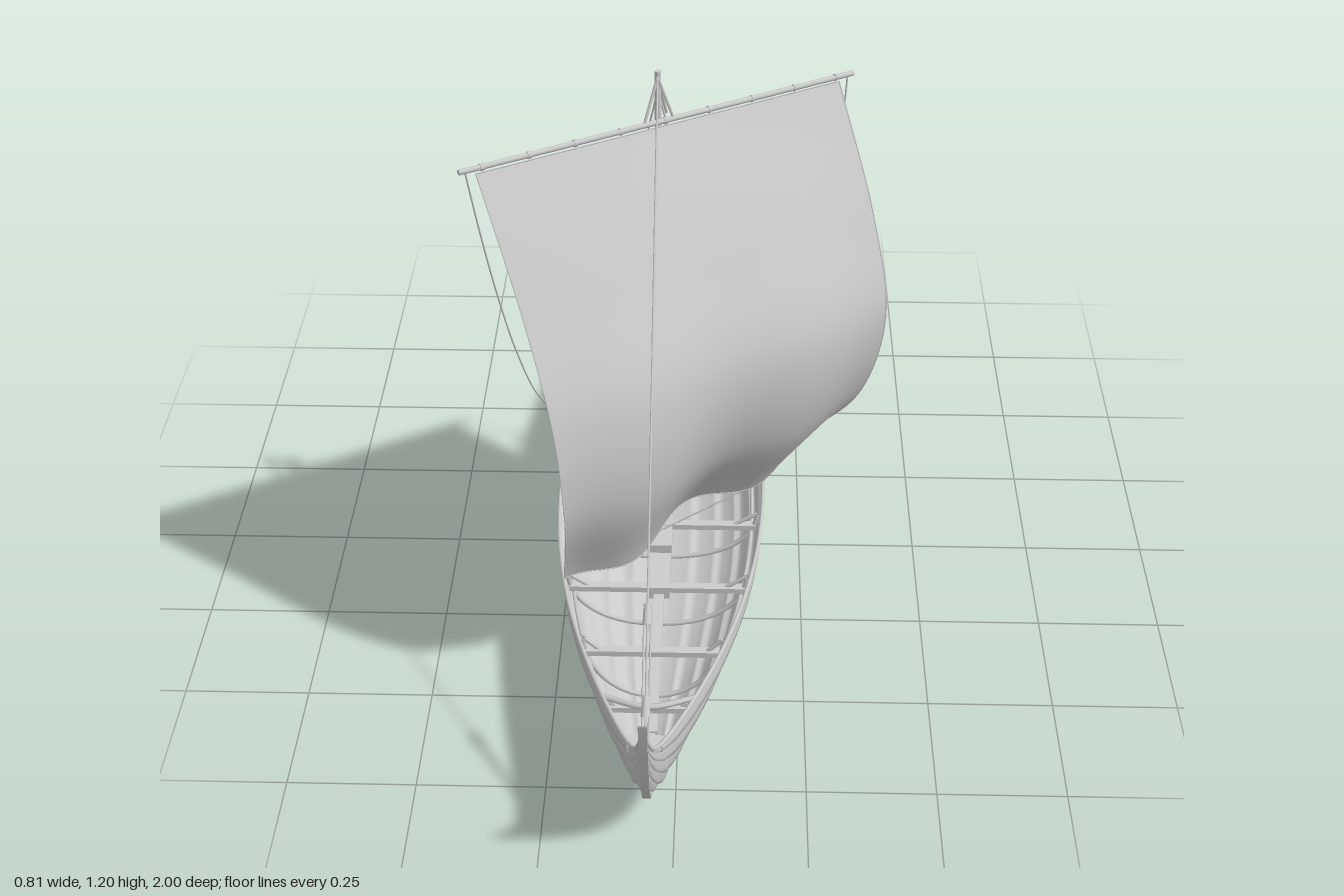
import * as THREE from 'three';

const grey = new THREE.MeshStandardMaterial({ color: 0xcccccc, side: THREE.DoubleSide });
const V = (x, y, z) => new THREE.Vector3(x, y, z);
const MID = -0.05; // centreline of the hull

// Hull lines along z
const sheer = z => 0.169 + 0.121 * z * z + 0.11 * Math.abs(z) ** 30;
const keel = z => 0.02 * z * z + 0.38 * Math.abs(z) ** 11;
const beam = z => 0.217 * Math.max(0, 1 - z * z) ** 1.14;
const fullness = z => 2.3 - 1.0 * z * z;

// Point on the planking: a = 0 at the keel, 1 at the rail; off = outward offset
function skin(z, a, side, off = 0) {
  const p = 2 / fullness(z), t = a * Math.PI / 2;
  const s = Math.sin(t), c = Math.max(0, Math.cos(t));
  const top = sheer(z), depth = Math.max(0, top - keel(z) - 0.028 * (1 - z ** 8));
  const k = off * Math.min(1, beam(z) / 0.05);
  return V(side * Math.max(0, beam(z) * s ** p + k * s), top - depth * c ** p - k * c, z);
}

// Inner half width of the hull at a given depth below the rail
function widthAt(z, below) {
  const n = fullness(z), depth = sheer(z) - keel(z) - 0.028;
  return beam(z) * Math.max(0, 1 - (below / depth) ** n) ** (1 / n) - 0.006;
}

function grid(nu, nv, fn) {
  const pos = [], idx = [];
  for (let i = 0; i <= nu; i++) for (let j = 0; j <= nv; j++) {
    pos.push(...fn(i / nu, j / nv).toArray());
    if (i < nu && j < nv) {
      const a = i * (nv + 1) + j, b = a + nv + 1;
      idx.push(a, b, a + 1, b, b + 1, a + 1);
    }
  }
  const g = new THREE.BufferGeometry();
  g.setAttribute('position', new THREE.Float32BufferAttribute(pos, 3));
  g.setIndex(idx);
  g.computeVertexNormals();
  return g;
}

function add(parent, name, geo) {
  const m = new THREE.Mesh(geo, grey);
  m.name = name;
  parent.add(m);
  return m;
}

function rope(parent, name, pts, r = 0.0018, seg = 24, sides = 6) {
  return add(parent, name, new THREE.TubeGeometry(new THREE.CatmullRomCurve3(pts), seg, r, sides));
}

function spar(parent, name, a, b, r0, r1 = r0, sides = 12) {
  const m = add(parent, name, new THREE.CylinderGeometry(r1, r0, a.distanceTo(b), sides));
  m.position.copy(a).add(b).multiplyScalar(0.5);
  m.quaternion.setFromUnitVectors(V(0, 1, 0), b.clone().sub(a).normalize());
  return m;
}

function box(parent, name, w, h, d, x, y, z) {
  const m = add(parent, name, new THREE.BoxGeometry(w, h, d));
  m.position.set(x, y, z);
  return m;
}

// Flat timber drawn in (z, y), extruded across x
function sideTimber(pts, width) {
  const g = new THREE.ExtrudeGeometry(new THREE.Shape(pts), { depth: width, bevelEnabled: false });
  return g.translate(0, 0, -width / 2).rotateY(-Math.PI / 2);
}

function buildHull(hull) {
  // Overlapping strakes: each stands proud at its lower edge
  const strakes = 6;
  const planks = (name, first, count, side, z0, z1, n, lift) => add(hull, name, grid(n, count * 5, (u, v) => {
    const row = Math.round(v * count * 5), k = row % 5;
    const f = k === 0 ? 0 : 0.06 + (k - 1) * 0.25;
    const off = k === 0 ? -0.001 : 0.007 * (1 - f);
    return skin(z0 + (z1 - z0) * u, (first + Math.floor(row / 5) + f) / strakes, side, off + lift);
  }));
  for (const side of [-1, 1]) {
    planks('planking', 0, strakes, side, -1, 1, 120, 0);
    // Stepped end planks
    for (let j = 0; j < strakes; j++) for (const e of [-1, 1])
      planks('stemPlank', j, 1, side, e * (0.75 + 0.036 * j), e, 14, 0.003);
    const rail = [], stringer = [];
    for (let i = 0; i <= 60; i++) {
      const z = -0.985 + 1.97 * i / 60;
      rail.push(skin(z, 1, side, 0.001));
      if (Math.abs(z) < 0.88) stringer.push(skin(z, 0.75, side, -0.008));
    }
    rope(hull, 'gunwale', rail, 0.004, 120, 8);
    rope(hull, 'stringer', stringer, 0.004, 80, 6);
  }

  // Keel and both curved stems in one timber
  const outer = [], inner = [];
  for (let i = 0; i <= 120; i++) {
    const z = Math.sin((i / 120 - 0.5) * Math.PI);
    outer.push(new THREE.Vector2(z, keel(z)));
    const rise = Math.abs(z) < 0.94 ? keel(z / 0.94) + 0.035 : 9;
    if (i > 0 && i < 120) inner.unshift(new THREE.Vector2(z, Math.min(rise, sheer(z) + 0.004)));
  }
  add(hull, 'keelAndStems', sideTimber([...outer, ...inner], 0.016));

  // Frames, crossbeams and their knees
  for (let i = 0; i < 8; i++) {
    const z = -0.79 + 0.221 * i, wide = i === 2;
    const below = Math.abs(z) > 0.7 ? 0.02 : 0.045, w = widthAt(z, below);
    box(hull, 'crossbeam', 2 * w, 0.012, wide ? 0.028 : 0.018, 0, sheer(z) - below, z);
    const frame = [];
    for (let k = -12; k <= 12; k++) frame.push(skin(z, Math.abs(k) / 12.5, Math.sign(k) || 1, -0.009));
    rope(hull, 'frame', frame, 0.005, 48, 6);
    for (const side of [-1, 1])
      spar(hull, 'knee', V(side * w * 0.75, sheer(z) - below, z), skin(z, 0.95, side, -0.012), 0.004, 0.004, 6);
  }
  box(hull, 'keelson', 0.022, 0.02, 1.3, 0, 0.045, 0);
  box(hull, 'mastStep', 0.045, 0.035, 0.3, 0, 0.06, 0.09);
  box(hull, 'mastPartner', 0.05, 0.02, 0.16, 0, sheer(0) - 0.05, 0.09);
  for (const e of [-1, 1]) {
    box(hull, 'breasthook', 2 * beam(0.9), 0.012, 0.03, 0, sheer(0.9) - 0.006, e * 0.9);
    const z = e * 0.75, y = sheer(z), w = beam(z);
    rope(hull, 'curvedBrace', [V(-w, y, z), V(0, y + 0.004, z + e * 0.03), V(w, y, z)], 0.006);
  }
  // Belaying pins on the rails
  for (const side of [-1, 1])
    spar(hull, 'belayingPin', V(side * (beam(0.33) - 0.03), 0.178, -0.33), V(side * (beam(0.33) + 0.025), 0.182, -0.33), 0.004, 0.004, 8);
}

function buildRudder(hull) {
  const pts = [[-0.738, 0.285], [-0.752, 0.288], [-0.812, 0.15], [-0.85, 0.11], [-0.876, 0.085], [-0.9, 0.03],
    [-0.87, 0.013], [-0.835, 0.011], [-0.806, 0.022], [-0.797, 0.07], [-0.793, 0.12]].map(p => new THREE.Vector2(...p));
  const g = sideTimber(pts, 0.01), p = g.attributes.position;
  for (let i = 0; i < p.count; i++) p.setX(i, p.getX(i) - 0.105 + (0.29 - p.getY(i)) * 0.23);
  g.computeVertexNormals();
  add(hull, 'steeringOar', g);
  spar(hull, 'tillerArm', V(-0.115, 0.275, -0.745), V(0.005, 0.28, -0.745), 0.005);
  spar(hull, 'tiller', V(0, 0.284, -0.76), V(0, 0.19, -0.41), 0.004);
  spar(hull, 'oarBoss', V(-0.075, 0.2, -0.77), V(-0.1, 0.2, -0.77), 0.012);
}

function buildSail(root) {
  const curve = rows => new THREE.CatmullRomCurve3(rows.map(r => V(...r)));
  const left = curve([[-0.375, 1.095, 0.3], [-0.29, 0.85, 0.405], [-0.235, 0.65, 0.485], [-0.218, 0.45, 0.497], [-0.23, 0.24, 0.415]]);
  const right = curve([[0.3, 1.095, -0.09], [0.375, 0.85, 0.02], [0.405, 0.66, 0.078], [0.365, 0.45, 0.047], [0.26, 0.27, -0.05]]);
  const at = (u, v) => {
    const q = left.getPoint(v).lerp(right.getPoint(v), u);
    // Two lobes towards the foot with the middle drawn back
    const lobes = Math.sin(2 * Math.PI * u) ** 2, centre = Math.sin(Math.PI * u) ** 4;
    const belly = v * v * (0.035 * lobes - 0.022 * centre) + 0.02 * Math.sin(Math.PI * u) * Math.sin(Math.PI * v);
    q.y -= (0.022 * lobes + 0.012 * Math.sin(Math.PI * u)) * v ** 4;
    return q.add(V(0.497 * belly, 0, 0.868 * belly));
  };
  add(root, 'sail', grid(40, 40, at));
  const line = f => Array.from({ length: 25 }, (_, i) => f(i / 24));
  for (const f of [t => at(0, t), t => at(1, t), t => at(t, 1), t => at(t, 0)]) rope(root, 'boltRope', line(f), 0.0014, 40, 5);

  // Yard and its lashings
  const a = V(-0.405, 1.104, 0.313), b = V(0.328, 1.104, -0.108);
  spar(root, 'yard', a, b, 0.0055);
  for (let i = 0; i <= 8; i++) {
    const p = a.clone().lerp(b, 0.05 + 0.1125 * i);
    spar(root, 'lashing', p, p.clone().lerp(b, 0.01), 0.0072);
  }
  return { a, b, foot: u => at(u, 1) };
}

function buildRigging(root, sail) {
  const head = V(MID, 1.19, 0.09);
  spar(root, 'mast', V(MID, 0.04, 0.085), V(MID, 1.2, 0.085), 0.011, 0.006, 16);

  // Stays with blocks and tackle near the lower end
  const stay = (name, top, end) => {
    rope(root, name, [top, end], 0.002, 2);
    const at = t => end.clone().lerp(top, t);
    for (const t of [0.06, 0.19]) spar(root, 'block', at(t), at(t + 0.03), 0.009, 0.006, 8);
    for (const dx of [-0.006, 0.006]) {
      const o = V(dx, 0, 0);
      rope(root, 'tackle', [end.clone().add(o), at(0.22).add(o)], 0.0018, 2);
    }
  };
  stay('forestay', head, V(MID, 0.255, 0.93));
  for (const side of [-1, 1]) for (const z of [-0.06, -0.2])
    stay('shroud', V(MID, 1.16, 0.085), V(MID + side * (beam(z) - 0.008), sheer(z), z));

  // Lifts from the masthead, and the halyard
  for (const t of [0.45, 0.525]) rope(root, 'lift', [head, sail.a.clone().lerp(sail.b, t)], 0.003, 2);
  rope(root, 'lift', [head, V(MID + 0.015, 1.1, 0.06)], 0.003, 2);
  rope(root, 'halyard', [V(MID, 1.15, 0.07), V(MID + 0.01, 0.14, -0.13)], 0.002, 2);

  // Slack braces and taut sheets led to the rails
  for (const [side, end, other, slack] of [[-1, sail.a, sail.b, 2], [1, sail.b, sail.a, 4]]) {
    const pin = V(MID + side * 0.205, 0.178, -0.33);
    const from = end.clone().lerp(other, 0.015);
    const hang = s => {
      const t = s * s, q = from.clone().lerp(pin, t);
      q.y = from.y + (pin.y - from.y) * (1 - (1 - t) ** slack);
      return q;
    };
    rope(root, 'brace', [0, 0.15, 0.3, 0.45, 0.6, 0.75, 0.9, 1].map(hang), 0.0018, 40);
    rope(root, 'sheet', [sail.foot(side < 0 ? 0 : 1), side < 0 ? V(MID - 0.2, 0.178, 0.1) : pin], 0.002, 2);
  }
  for (const u of [0.3, 0.7]) rope(root, 'footLine', [sail.foot(u), V(MID, 0.13, 0.12)], 0.0016, 2);
}

export function createModel() {
  const root = new THREE.Group();
  root.name = 'sailingShip';
  const hull = new THREE.Group();
  hull.name = 'hull';
  hull.position.x = MID;
  root.add(hull);
  buildHull(hull);
  buildRudder(hull);
  buildRigging(root, buildSail(root));
  return root;
}
